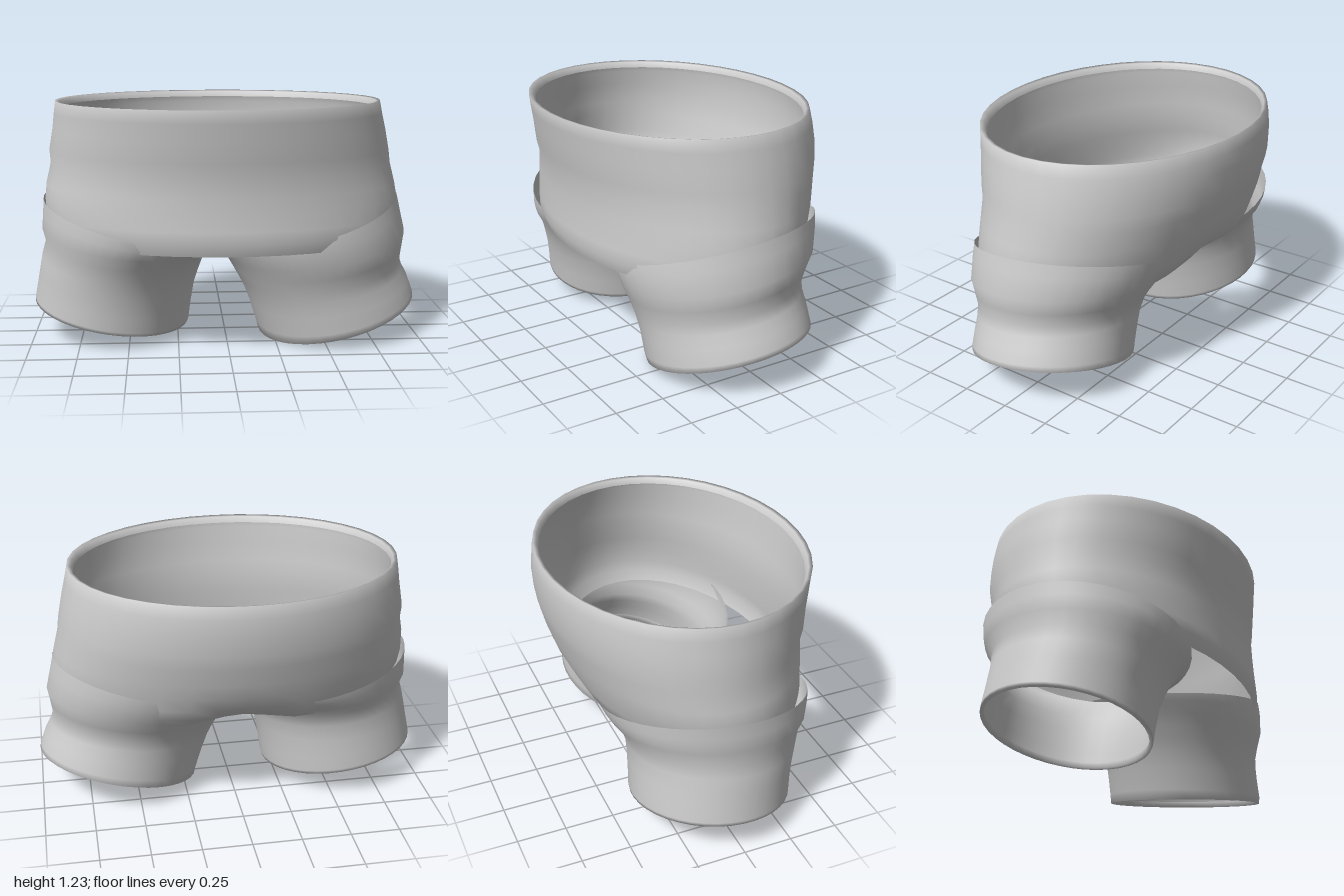
import * as THREE from 'three';

const SEGMENTS = 40;

// Skin a tube through oval rings listed top to bottom, each [xMin, yAtXMin, xMax, yAtXMax, zBack, zFront, frontDrop, backPinch]
function loft(rings) {
  const pos = [], index = [];
  for (const [xl, yl, xr, yr, zb, zf, drop = 0, pinch = 0] of rings) {
    for (let i = 0; i < SEGMENTS; i++) {
      const t = (i / SEGMENTS) * Math.PI * 2, c = Math.cos(t), s = Math.sin(t);
      const x = (xl + xr) / 2 + (c * (xr - xl)) / 2;
      const y = (yl + yr) / 2 + (c * (yr - yl)) / 2 - drop * s;
      let z = (zb + zf) / 2 + (s * (zf - zb)) / 2;
      if (s < 0) z += pinch * Math.exp(-((x / 0.2) ** 2));
      pos.push(x, y, z);
    }
  }
  for (let r = 0; r < rings.length - 1; r++) {
    for (let i = 0; i < SEGMENTS; i++) {
      const j = (i + 1) % SEGMENTS;
      const a = r * SEGMENTS + i, b = r * SEGMENTS + j;
      index.push(a, b, a + SEGMENTS, b, b + SEGMENTS, a + SEGMENTS);
    }
  }
  const g = new THREE.BufferGeometry();
  g.setAttribute('position', new THREE.Float32BufferAttribute(pos, 3));
  g.setIndex(index);
  g.computeVertexNormals();
  return g;
}

// Level ring for the torso
const level = (y, xl, xr, zb, zf, pinch = 0) => [xl, y, xr, y, zb, zf, 0, pinch];

export function createModel() {
  const group = new THREE.Group();
  const cloth = new THREE.MeshStandardMaterial({ color: 0xcccccc, side: THREE.DoubleSide });
  cloth.name = 'light grey cloth';

  const add = (name, rings) => {
    const mesh = new THREE.Mesh(loft(rings), cloth);
    mesh.name = name;
    group.add(mesh);
  };

  // Waist and hips, with a turned-in waistband
  add('torso', [
    level(1.19, -0.84, 0.77, -0.625, 0.63),
    level(1.22, -0.85, 0.78, -0.635, 0.645),
    level(1.225, -0.868, 0.8, -0.652, 0.665),
    level(1.16, -0.878, 0.815, -0.662, 0.655),
    level(1.08, -0.888, 0.835, -0.665, 0.642),
    level(0.97, -0.907, 0.857, -0.655, 0.625),
    level(0.9, -0.902, 0.866, -0.637, 0.607),
    level(0.8, -0.925, 0.89, -0.61, 0.604),
    level(0.72, -0.932, 0.903, -0.583, 0.604),
    level(0.64, -0.925, 0.905, -0.557, 0.608, 0.02),
    level(0.58, -0.905, 0.895, -0.535, 0.612, 0.06),
    level(0.52, -0.87, 0.87, -0.485, 0.59, 0.13),
  ]);

  // Left leg, splayed outward with a slanted hem
  add('leftLeg', [
    [-0.06, 0.51, 0.9, 0.75, -0.5, 0.515, 0.06],
    [-0.04, 0.48, 0.915, 0.68, -0.49, 0.515, 0.06],
    [0.0, 0.43, 0.942, 0.56, -0.455, 0.5, 0.06],
    [0.035, 0.37, 0.93, 0.48, -0.41, 0.475, 0.055],
    [0.07, 0.31, 0.92, 0.41, -0.38, 0.455, 0.055],
    [0.1, 0.25, 0.935, 0.36, -0.372, 0.445, 0.055],
    [0.13, 0.17, 0.968, 0.3, -0.375, 0.437, 0.055],
    [0.165, 0.06, 0.993, 0.235, -0.38, 0.435, 0.055],
    [0.178, 0.012, 1.0, 0.212, -0.382, 0.428, 0.055],
    [0.195, 0.016, 0.983, 0.21, -0.366, 0.412, 0.053],
    [0.19, 0.045, 0.98, 0.24, -0.366, 0.415, 0.053],
  ]);

  // Right leg, a little straighter
  add('rightLeg', [
    [-0.94, 0.73, 0.02, 0.51, -0.525, 0.53, 0.04],
    [-0.944, 0.66, -0.01, 0.5, -0.51, 0.525, 0.04],
    [-0.95, 0.58, -0.06, 0.48, -0.48, 0.505, 0.04],
    [-0.932, 0.51, -0.11, 0.43, -0.435, 0.47, 0.04],
    [-0.955, 0.43, -0.135, 0.36, -0.415, 0.44, 0.04],
    [-0.972, 0.34, -0.16, 0.28, -0.415, 0.415, 0.04],
    [-0.985, 0.27, -0.18, 0.16, -0.418, 0.4, 0.04],
    [-0.998, 0.205, -0.19, 0.08, -0.422, 0.392, 0.04],
    [-1.0, 0.188, -0.195, 0.062, -0.42, 0.388, 0.04],
    [-0.983, 0.186, -0.212, 0.066, -0.404, 0.372, 0.038],
    [-0.98, 0.216, -0.207, 0.096, -0.404, 0.375, 0.038],
  ]);

  return group;
}
